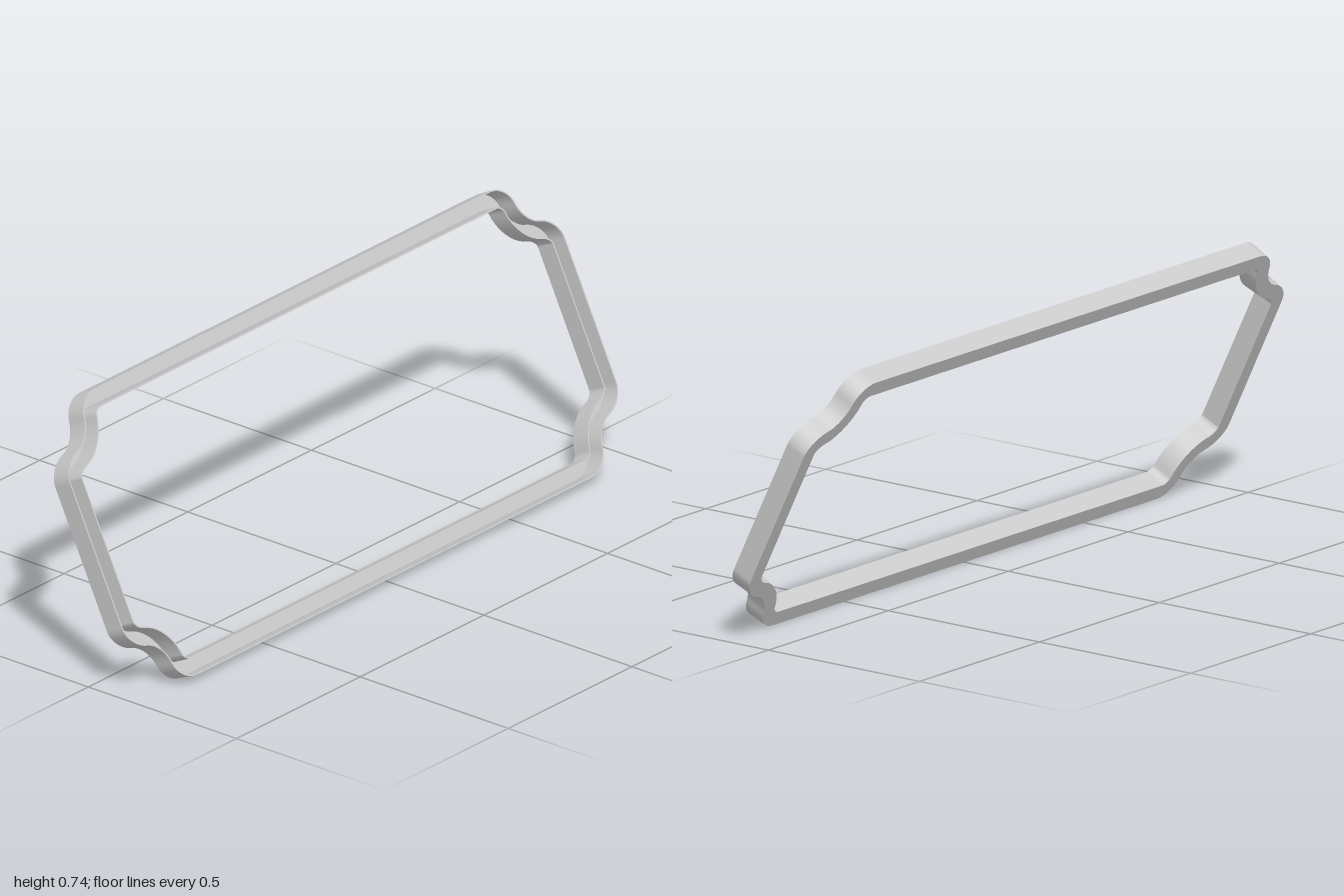
import * as THREE from 'three';

const TILT = 0.451;
const BAR = 0.05, DEPTH = 0.0585, WALL = 0.004, DRAFT = 0.003;

// One scalloped corner of the outline in (z, height), from the end bar up to the long bar
function cornerPoints() {
  const s = new THREE.Path();
  const K = 0.55;
  let cur = [1, 0.2];
  s.moveTo(...cur);
  const bend = (cx, cy, x, y) => {
    s.bezierCurveTo(
      cur[0] + (cx - cur[0]) * K, cur[1] + (cy - cur[1]) * K,
      x + (cx - x) * K, y + (cy - y) * K, x, y);
    cur = [x, y];
  };
  bend(1, 0.255, 0.932, 0.271);
  bend(0.882, 0.283, 0.872, 0.338);
  bend(0.862, 0.397, 0.8, 0.397);
  return s.getPoints(10);
}

// Full closed outline: the corner mirrored into all four quadrants
function outlinePoints() {
  const c = cornerPoints();
  const flip = (sz, sy) => c.map(p => new THREE.Vector2(p.x * sz, p.y * sy));
  return [
    ...flip(1, 1), ...flip(-1, 1).reverse(),
    ...flip(-1, -1), ...flip(1, -1).reverse(),
  ];
}

// Inward mitred offset direction at every outline point
function inwardDirections(pts) {
  const n = pts.length;
  const edgeNormal = i => {
    const a = pts[i % n], b = pts[(i + 1) % n];
    return new THREE.Vector2(a.y - b.y, b.x - a.x).normalize();
  };
  return pts.map((_, i) => {
    const e = edgeNormal(i);
    const m = edgeNormal(i + n - 1).add(e).normalize();
    return m.divideScalar(m.dot(e));
  });
}

// Sweeps one straight side of the section round the outline, smooth along its length
function strip(pts, dirs, from, to) {
  const pos = [], idx = [], n = pts.length;
  pts.forEach((p, i) => {
    for (const [inset, depth] of [from, to]) {
      pos.push(depth, p.y + dirs[i].y * inset, p.x + dirs[i].x * inset);
    }
    const a = 2 * i, c = 2 * ((i + 1) % n);
    idx.push(a, a + 1, c, a + 1, c + 1, c);
  });
  const g = new THREE.BufferGeometry();
  g.setAttribute('position', new THREE.Float32BufferAttribute(pos, 3));
  g.setIndex(idx);
  g.computeVertexNormals();
  return g;
}

export function createModel() {
  const group = new THREE.Group();
  const frame = new THREE.Group();
  frame.name = 'channelFrame';
  const material = new THREE.MeshStandardMaterial({ color: 0xcccccc });

  const pts = outlinePoints();
  const dirs = inwardDirections(pts);
  const h = DEPTH / 2;

  // U-channel section: [inset from outline, depth], open towards the front
  const section = [
    ['outerWall', DRAFT, -h],
    ['outerRim', 0, h],
    ['channelOuterSide', WALL, h],
    ['channelFloor', WALL, -h + WALL],
    ['channelInnerSide', BAR - WALL, -h + WALL],
    ['innerRim', BAR - WALL, h],
    ['innerWall', BAR, h],
    ['backFace', BAR - DRAFT, -h],
  ];
  section.forEach(([name, inset, depth], i) => {
    const next = section[(i + 1) % section.length];
    const mesh = new THREE.Mesh(
      strip(pts, dirs, [inset, depth], [next[1], next[2]]), material);
    mesh.name = name;
    frame.add(mesh);
  });

  // Lean the frame back and stand it on the ground
  frame.rotation.z = TILT;
  group.add(frame);
  const box = new THREE.Box3().setFromObject(group, true);
  frame.position.set(-(box.min.x + box.max.x) / 2, -box.min.y, 0);
  return group;
}
